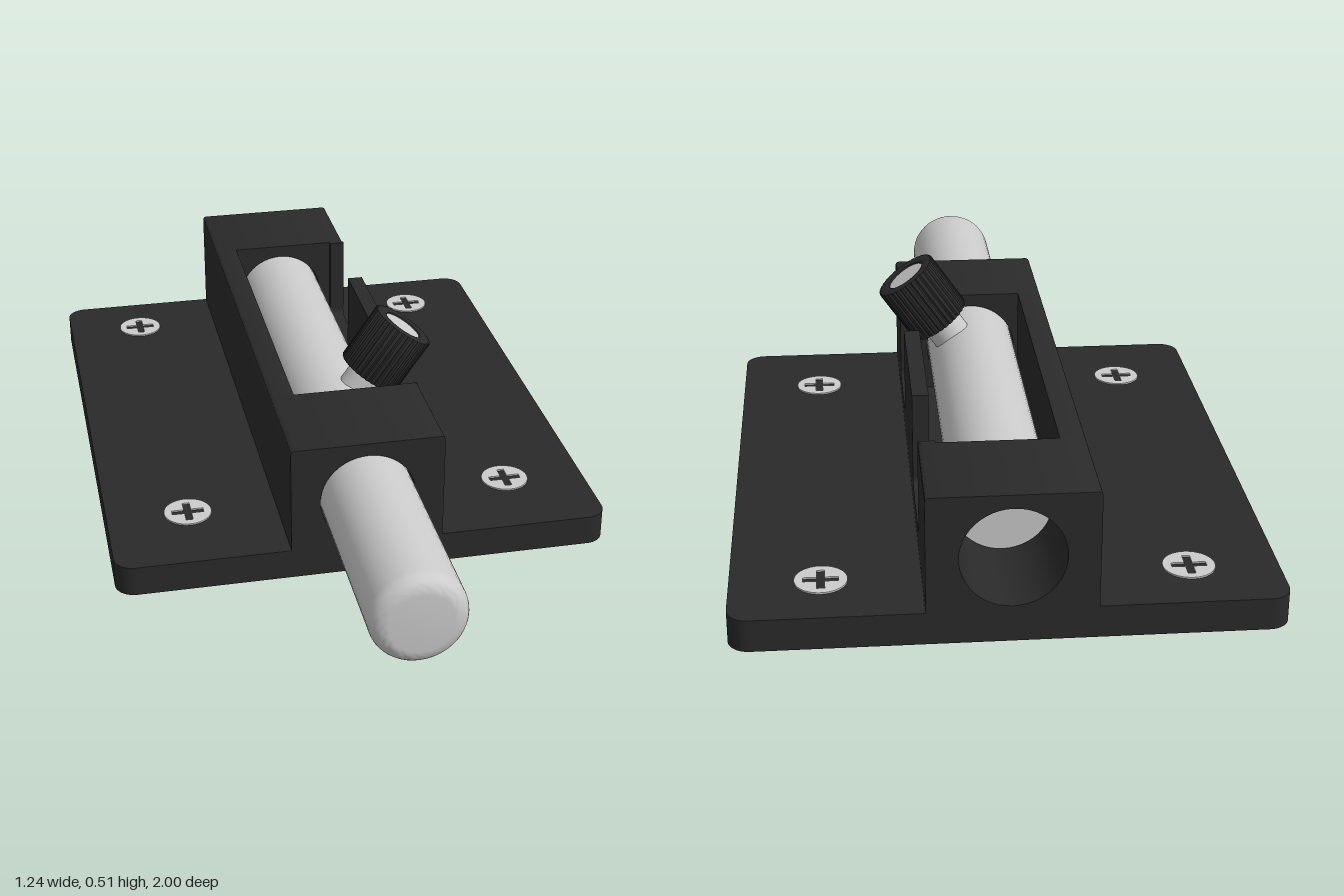
import * as THREE from 'three';
import { toCreasedNormals } from 'three/addons/utils/BufferGeometryUtils.js';

const black = new THREE.MeshStandardMaterial({ color: 0x2a2a2a });
const metal = new THREE.MeshStandardMaterial({ color: 0xcccccc });

const AXIS_Y = 0.205, BOLT_R = 0.115, PLATE_Y = 0.077, TOP_Y = 0.355;
const BACK = -1, FRONT = 0.465, SLOT_BACK = -0.73, SLOT_FRONT = 0.185;

function add(parent, name, geometry, material) {
  const mesh = new THREE.Mesh(geometry, material);
  mesh.name = name;
  parent.add(mesh);
  return mesh;
}

// Extrusion along +z from z0 to z1, smooth on curves and sharp on edges
function extrude(shape, z0, z1, options = {}) {
  const g = new THREE.ExtrudeGeometry(shape, { depth: z1 - z0, bevelEnabled: false, curveSegments: 24, ...options });
  g.translate(0, 0, z0);
  return toCreasedNormals(g, 0.6);
}

function circlePath(x, y, r) {
  return new THREE.Path().absarc(x, y, r, 0, Math.PI * 2, true);
}

// Rectangle with separate radii for its lower and upper corners
function roundedRect(x0, y0, x1, y1, low, high) {
  const s = new THREE.Shape();
  s.moveTo(x0 + low, y0);
  s.lineTo(x1 - low, y0);
  if (low) s.absarc(x1 - low, y0 + low, low, -Math.PI / 2, 0);
  s.lineTo(x1, y1 - high);
  s.absarc(x1 - high, y1 - high, high, 0, Math.PI / 2);
  s.lineTo(x0 + high, y1);
  s.absarc(x0 + high, y1 - high, high, Math.PI / 2, Math.PI);
  s.lineTo(x0, y0 + low);
  if (low) s.absarc(x0 + low, y0 + low, low, Math.PI, Math.PI * 1.5);
  return s;
}

function buildHousing() {
  const housing = new THREE.Group();
  housing.name = 'housing';

  // Bored blocks at both ends
  const block = roundedRect(-0.19, PLATE_Y - 0.01, 0.19, TOP_Y, 0, 0.01);
  block.holes.push(circlePath(0, AXIS_Y, 0.118));
  add(housing, 'frontBlock', extrude(block, SLOT_FRONT, FRONT), black);
  add(housing, 'backBlock', extrude(block, BACK, SLOT_BACK), black);

  // Channel floor with the solid wall
  const channel = new THREE.Shape();
  channel.moveTo(-0.19, PLATE_Y - 0.01);
  channel.lineTo(0.16, PLATE_Y - 0.01);
  channel.lineTo(0.16, 0.087);
  channel.lineTo(-0.13, 0.087);
  channel.lineTo(-0.13, TOP_Y);
  channel.lineTo(-0.18, TOP_Y);
  channel.absarc(-0.18, TOP_Y - 0.01, 0.01, Math.PI / 2, Math.PI);
  add(housing, 'channel', extrude(channel, SLOT_BACK, SLOT_FRONT), black);

  // Notched wall, drawn in z and y
  const wall = new THREE.Shape();
  const r = 0.02, sill = 0.12;
  wall.moveTo(SLOT_BACK, PLATE_Y - 0.01);
  wall.lineTo(SLOT_FRONT, PLATE_Y - 0.01);
  wall.lineTo(SLOT_FRONT, TOP_Y);
  wall.lineTo(SLOT_FRONT - 0.002, TOP_Y);
  for (const [z0, z1] of [[-0.06, SLOT_FRONT - 0.002], [-0.72, -0.47]]) {
    wall.lineTo(z1, TOP_Y);
    wall.lineTo(z1, sill + r);
    wall.absarc(z1 - r, sill + r, r, 0, -Math.PI / 2, true);
    wall.lineTo(z0 + r, sill);
    wall.absarc(z0 + r, sill + r, r, -Math.PI / 2, -Math.PI, true);
    wall.lineTo(z0, TOP_Y);
  }
  wall.lineTo(SLOT_BACK, TOP_Y);
  const notched = extrude(wall, 0, 0.04);
  notched.rotateY(-Math.PI / 2);
  notched.translate(0.19, 0, 0);
  add(housing, 'notchedWall', notched, black);
  return housing;
}

function buildBolt() {
  const bolt = new THREE.Group();
  bolt.name = 'bolt';

  // Sliding rod with a rounded nose
  const profile = [new THREE.Vector2(0, -0.75), new THREE.Vector2(BOLT_R, -0.75)];
  const f = 0.04;
  for (let i = 0; i <= 8; i++) {
    const a = (i / 8) * Math.PI / 2;
    profile.push(new THREE.Vector2(BOLT_R - f + f * Math.cos(a), 1 - f + f * Math.sin(a)));
  }
  profile.push(new THREE.Vector2(0, 1));
  const rod = toCreasedNormals(new THREE.LatheGeometry(profile, 48), 0.6);
  rod.rotateX(Math.PI / 2);
  rod.translate(0, AXIS_Y, 0);
  add(bolt, 'rod', rod, metal);

  // Tilted handle: stem and ribbed knob
  const handle = new THREE.Group();
  handle.name = 'handle';
  handle.position.set(0, AXIS_Y, 0.065);
  handle.rotation.z = -0.61;
  const stem = new THREE.CylinderGeometry(0.051, 0.051, 0.26, 32);
  stem.translate(0, 0.18, 0);
  add(handle, 'stem', stem, metal);

  const ribs = 32, outline = [];
  for (let i = 0; i < ribs * 4; i++) {
    const a = (i / (ribs * 4)) * Math.PI * 2;
    const rad = i % 4 < 2 ? 0.079 : 0.075;
    outline.push(new THREE.Vector2(Math.cos(a) * rad, Math.sin(a) * rad));
  }
  const knobShape = new THREE.Shape(outline);
  knobShape.holes.push(circlePath(0, 0, 0.056));
  const knob = extrude(knobShape, 0.162, 0.31, {
    bevelEnabled: true, bevelSize: 0.005, bevelThickness: 0.005, bevelSegments: 2,
  });
  knob.rotateX(-Math.PI / 2);
  add(handle, 'knob', knob, black);
  bolt.add(handle);
  return bolt;
}

// Screw head with a cross-shaped recess
function screwGeometry() {
  const head = new THREE.Shape().absarc(0, 0, 0.06, 0, Math.PI * 2, false);
  const a = 0.04, w = 0.009;
  const corners = [[a, -w], [a, w], [w, w], [w, a], [-w, a], [-w, w], [-a, w], [-a, -w], [-w, -w], [-w, -a], [w, -a], [w, -w]];
  head.holes.push(new THREE.Path(corners.map(([x, y]) => new THREE.Vector2(x, y)).reverse()));
  const g = extrude(head, 0, 0.01);
  g.rotateX(-Math.PI / 2);
  return g;
}

export function createModel() {
  const model = new THREE.Group();
  model.name = 'slideBolt';

  // Mounting plate
  const plate = extrude(roundedRect(-0.62, -FRONT, 0.62, -BACK, 0.05, 0.05), 0, PLATE_Y);
  plate.rotateX(-Math.PI / 2);
  add(model, 'basePlate', plate, black);

  model.add(buildHousing(), buildBolt());

  // Four corner screws
  const screw = screwGeometry();
  for (const x of [-0.415, 0.415]) {
    for (const z of [-0.84, 0.24]) {
      add(model, 'screw', screw, metal).position.set(x, PLATE_Y - 0.006, z);
    }
  }
  return model;
}
